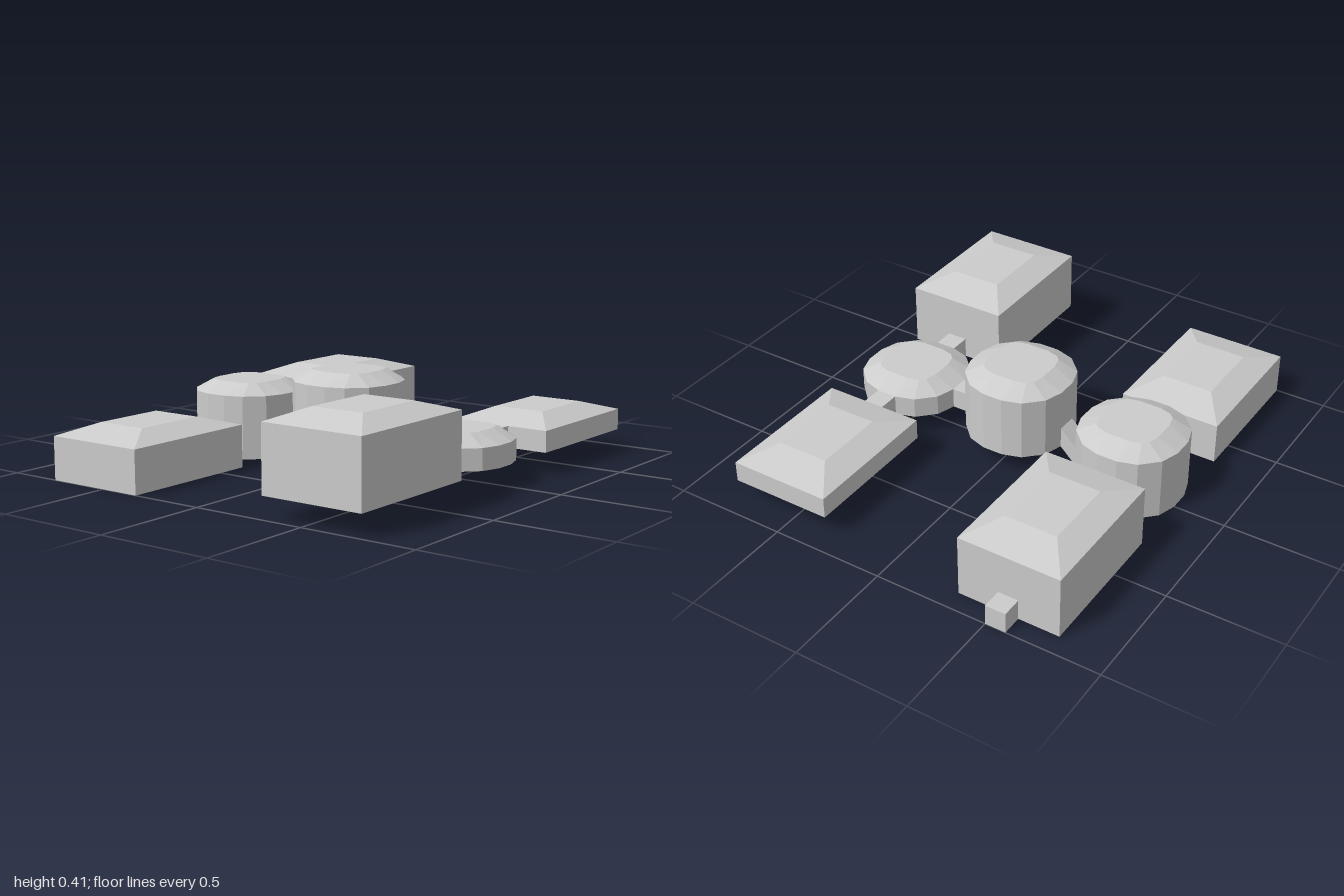
import * as THREE from 'three';

const material = new THREE.MeshStandardMaterial({ color: 0xcccccc, flatShading: true });

// Walls from an outline, then a roof sloping in to a smaller flat outline
function building(plan, roofPlan, base, eaves, top) {
  const ring = (outline, y) => outline.map(([x, z]) => [x, y, z]);
  const rings = [ring(plan, base), ring(plan, eaves), ring(roofPlan, top)];
  const pos = [];
  const tri = (a, b, c) => pos.push(...a, ...b, ...c);
  for (let i = 0; i < plan.length; i++) {
    const j = (i + 1) % plan.length;
    for (let k = 0; k < 2; k++) {
      const lo = rings[k], hi = rings[k + 1];
      tri(lo[i], hi[i], lo[j]);
      tri(lo[j], hi[i], hi[j]);
    }
    tri([0, base, 0], rings[0][i], rings[0][j]);
    tri([0, top, 0], rings[2][j], rings[2][i]);
  }
  const g = new THREE.BufferGeometry();
  g.setAttribute('position', new THREE.Float32BufferAttribute(pos, 3));
  g.computeVertexNormals();
  return g;
}

// Repeats a quarter outline four times around the centre
const fourfold = (quarter) => [
  ...quarter,
  ...quarter.map(([x, z]) => [-z, x]),
  ...quarter.map(([x, z]) => [-x, -z]),
  ...quarter.map(([x, z]) => [z, -x]),
];
const rectangle = (x, z) => [[x, -z], [x, z], [-x, z], [-x, -z]];

const roundPlan = fourfold([[0.226, -0.045], [0.226, 0.045], [0.2, 0.128], [0.128, 0.2]]);
const roundRoof = fourfold([[0.135, -0.05], [0.135, 0.05], [0.122, 0.1], [0.1, 0.122]]);
const hallPlan = rectangle(0.226, 0.318);
const hallRoof = rectangle(0.115, 0.16);

const extrude = (points, depth) => new THREE.ExtrudeGeometry(
  new THREE.Shape(points.map(([x, y]) => new THREE.Vector2(x, y))), { depth, bevelEnabled: false });

export function createModel() {
  const model = new THREE.Group();
  const add = (name, geometry, x = 0, y = 0, z = 0) => {
    const mesh = new THREE.Mesh(geometry, material);
    mesh.name = name;
    mesh.position.set(x, y, z);
    model.add(mesh);
  };
  const unit = 0.0915, rise = 0.046, side = 0.546, midZ = 0.045;

  // Round buildings; base and eaves are counted in half storeys
  const round = (name, x, base, eaves) => add(name,
    building(roundPlan, roundRoof, base * unit, eaves * unit, eaves * unit + rise), x, 0, midZ);
  round('rightRoundhouse', -side, 0, 3);
  round('centreRoundhouse', 0, 1, 4);
  round('leftRoundhouse', side, 1, 2);

  // Rectangular halls with hipped, flat-topped roofs
  const hall = (name, x, z, base, eaves) => add(name,
    building(hallPlan, hallRoof, base * unit, eaves * unit, eaves * unit + rise), x, 0, z);
  hall('frontRightHall', -side, 0.682, 0, 2);
  hall('frontLeftHall', side, 0.682, 1, 4);
  hall('backRightHall', -side, -0.593, 0, 3);
  hall('backLeftHall', side, -0.593, 1, 2);

  // Passages from the side roundhouses to their halls
  for (const [label, x, base] of [['Right', -side, 0], ['Left', side, unit]]) {
    for (const [end, z] of [['front', 0.317], ['back', -0.227]]) {
      add(`${end}${label}Passage`, new THREE.BoxGeometry(0.09, unit, 0.1), x, base + unit / 2, z);
    }
  }

  // Level passage and sloping passage on either side of the centre
  add('leftPassage', new THREE.BoxGeometry(0.1, unit, 0.09), side / 2, 1.5 * unit, midZ);
  add('slopingPassage', extrude([
    [-0.32, 0], [-0.226, unit], [-0.226, 2 * unit], [-0.32, unit],
  ], 0.09));

  // Entrance porch with an open doorway
  add('entrancePorch', extrude([
    [-0.045, 0], [-0.02, 0], [-0.02, 0.068], [0.02, 0.068],
    [0.02, 0], [0.045, 0], [0.045, unit], [-0.045, unit],
  ], 0.095), 0, unit, 0.265);

  // Small annex behind the back right hall
  add('backAnnex', new THREE.BoxGeometry(0.09, unit, 0.09), -side, unit / 2, -0.955);

  return model;
}
